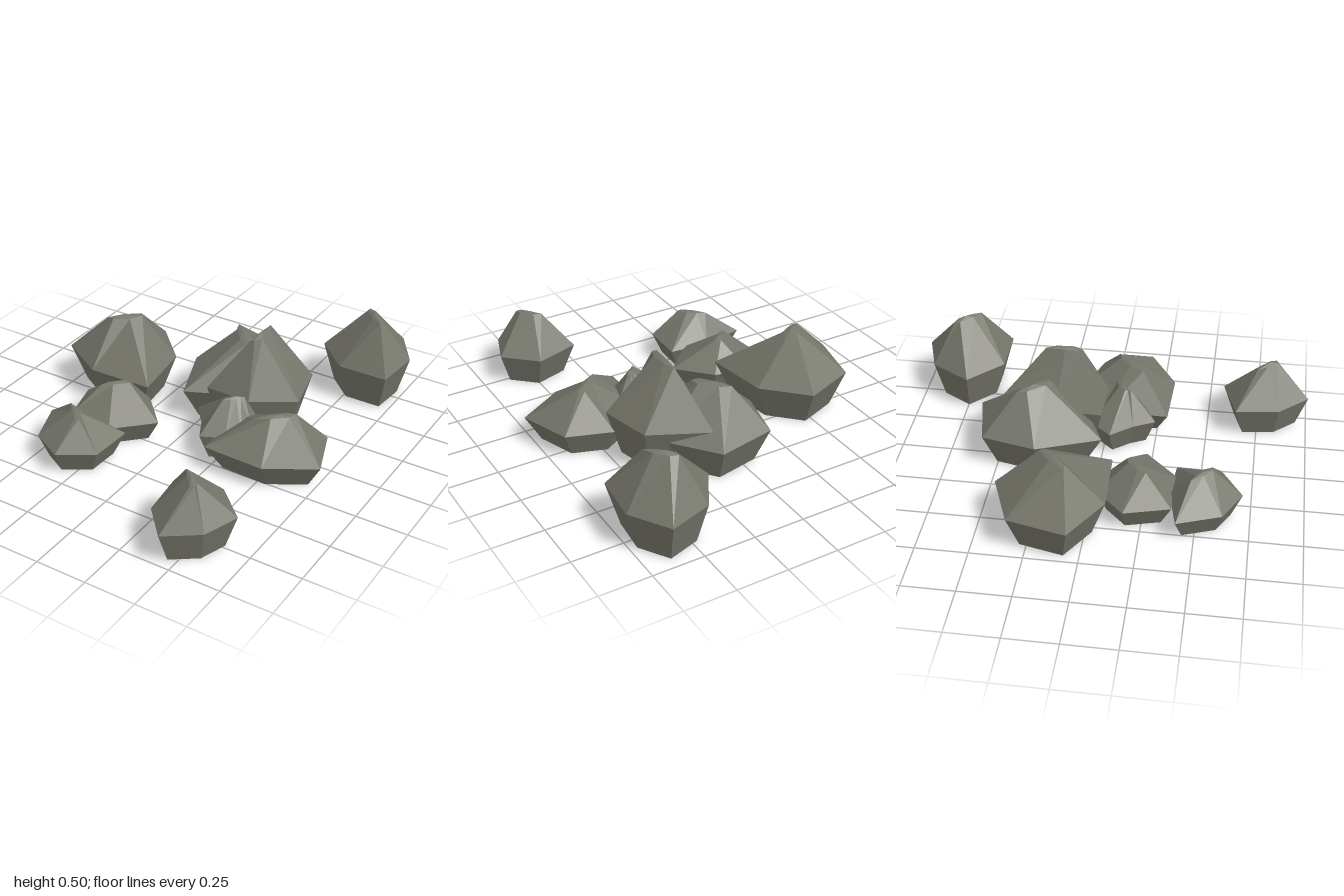
import * as THREE from 'three';

const FOOT = 0.74; // foot size relative to the waist
const WAIST = 0.46; // waist height relative to the peak
const SHOULDER = 0.97; // crown height relative to the peak
const CROWN_LENGTH = 0.34; // crown size along its ridge, relative to the waist
const CROWN_WIDTH = 0.09; // crown size across its ridge

// Each rock: centre, height, first corner angle, ridge direction (degrees),
// and the waist radius at evenly spaced angles, clockwise from above.
const ROCKS = [
  { name: 'largeLeftRock', x: -0.5, z: -0.15, height: 0.4, turn: -80, ridge: -45,
    radii: [0.284, 0.255, 0.37, 0.25, 0.3, 0.28] },
  { name: 'middleLeftRock', x: -0.31, z: 0.2, height: 0.25, turn: -112, ridge: -45,
    radii: [0.18, 0.16, 0.255, 0.22, 0.24, 0.21] },
  { name: 'frontLeftRock', x: -0.33, z: 0.52, height: 0.247, turn: -155, ridge: 45,
    radii: [0.25, 0.15, 0.23, 0.2, 0.19, 0.18] },
  { name: 'backRock', x: 0.07, z: -0.34, height: 0.38, turn: -130, ridge: 45,
    radii: [0.29, 0.3, 0.29, 0.28, 0.375, 0.25] },
  { name: 'tallRock', x: 0.25, z: -0.19, height: 0.5, turn: -105, ridge: 90,
    radii: [0.34, 0.27, 0.26, 0.2, 0.26, 0.18] },
  { name: 'rightRock', x: 0.51, z: 0.08, height: 0.275, turn: -100, ridge: -45,
    radii: [0.23, 0.234, 0.287, 0.24, 0.35, 0.28] },
  { name: 'smallJaggedRock', x: 0.27, z: 0.07, height: 0.287, turn: -100, ridge: -45,
    radii: [0.1, 0.1, 0.13, 0.11, 0.12, 0.13, 0.2, 0.16, 0.23, 0.19] },
  { name: 'frontRightRock', x: 0.48, z: 0.79, height: 0.34, turn: -142, ridge: 45,
    radii: [0.24, 0.22, 0.2, 0.16, 0.212, 0.175] },
  { name: 'backRightRock', x: 0.57, z: -0.78, height: 0.43, turn: -130, ridge: 45,
    radii: [0.2, 0.234, 0.2, 0.27, 0.22, 0.25] },
];

// Foot, waist and ridged crown rings joined by facets up to the peak; open below.
function rockGeometry({ height, turn, ridge, radii }) {
  const n = radii.length;
  const ridgeAngle = THREE.MathUtils.degToRad(ridge);
  const c = Math.cos(ridgeAngle);
  const s = Math.sin(ridgeAngle);
  const ring = (y, length, width) => radii.map((radius, i) => {
    const angle = THREE.MathUtils.degToRad(turn + (360 * i) / n) - ridgeAngle;
    const along = Math.cos(angle) * radius * length;
    const across = Math.sin(angle) * radius * width;
    return [along * c - across * s, y, along * s + across * c];
  });
  const rings = [
    ring(0, FOOT, FOOT),
    ring(height * WAIST, 1, 1),
    ring(height * SHOULDER, CROWN_LENGTH, CROWN_WIDTH),
  ];
  const points = [];
  const face = (...corners) => corners.forEach((corner) => points.push(...corner));
  for (let i = 0; i < n; i++) {
    const j = (i + 1) % n;
    for (let r = 0; r < 2; r++) {
      const low = rings[r];
      const high = rings[r + 1];
      face(low[j], low[i], high[i]);
      face(low[j], high[i], high[j]);
    }
    face(rings[2][j], rings[2][i], [0, height, 0]);
  }
  const geometry = new THREE.BufferGeometry();
  geometry.setAttribute('position', new THREE.Float32BufferAttribute(points, 3));
  geometry.computeVertexNormals();
  return geometry;
}

export function createModel() {
  const group = new THREE.Group();
  group.name = 'rockCluster';
  const stone = new THREE.MeshStandardMaterial({
    color: 0x74756a, flatShading: true, side: THREE.DoubleSide,
  });
  stone.name = 'grey stone';
  for (const rock of ROCKS) {
    const mesh = new THREE.Mesh(rockGeometry(rock), stone);
    mesh.name = rock.name;
    mesh.position.set(rock.x, 0, rock.z);
    group.add(mesh);
  }
  return group;
}
